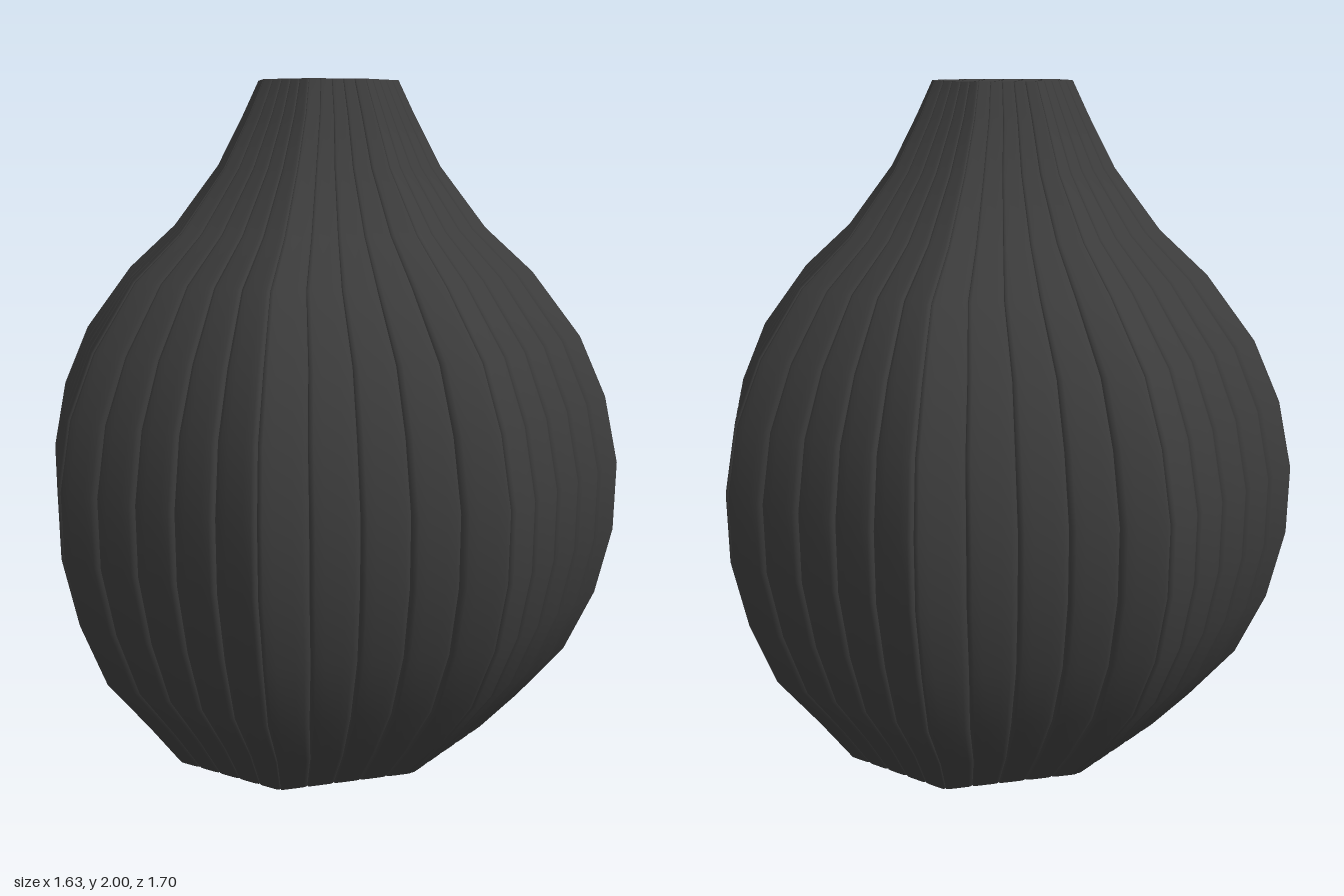
import * as THREE from 'three';

// Rows of the bulb: height, half width in x, half depth in z
const PROFILE = [
  [0, 0.44, 0.53], [0.12, 0.55, 0.61], [0.28, 0.68, 0.73], [0.47, 0.765, 0.80],
  [0.67, 0.81, 0.845], [0.87, 0.815, 0.85], [1.07, 0.775, 0.82], [1.25, 0.70, 0.75],
  [1.44, 0.56, 0.635], [1.57, 0.43, 0.49], [1.75, 0.305, 0.35], [1.9, 0.235, 0.265],
  [2, 0.19, 0.22],
];
const SIDES = 8;
const STAVES_PER_SIDE = 5;
const SLATS = 13;

// Stave cross-section: position across the stave, and how far the edge dips in
const SECTION = [[0, 0.018], [0.035, 0.006], [0.12, 0.001], [0.3, 0], [0.7, 0], [0.88, 0.001], [0.965, 0.006], [1, 0.018]];

// Corner of an octagon whose flats lie at distance 1
function corner(k) {
  const a = (k - 0.5) * Math.PI * 2 / SIDES;
  const r = 1 / Math.cos(Math.PI / SIDES);
  return new THREE.Vector2(Math.sin(a) * r, Math.cos(a) * r);
}

// One curved stave running from the open base to the rim
function staveGeometry(side, stave) {
  const a = corner(side), b = corner(side + 1);
  const positions = [], index = [], n = SECTION.length;
  PROFILE.forEach(([y, rx, rz], i) => {
    SECTION.forEach(([t, dip], j) => {
      const p = a.clone().lerp(b, (stave + t) / STAVES_PER_SIDE).multiplyScalar(1 - dip);
      positions.push(p.x * rx, y, p.y * rz);
      if (i < PROFILE.length - 1 && j < n - 1) {
        const q = i * n + j;
        index.push(q, q + 1, q + n, q + 1, q + n + 1, q + n);
      }
    });
  });
  const g = new THREE.BufferGeometry();
  g.setAttribute('position', new THREE.Float32BufferAttribute(positions, 3));
  g.setIndex(index);
  g.computeVertexNormals();
  return g;
}

export function createModel() {
  const model = new THREE.Group();
  model.name = 'slattedVase';
  const material = new THREE.MeshStandardMaterial({ color: 0x3c3c3c, side: THREE.DoubleSide });

  // Body: five staves on each of the eight sides
  const body = new THREE.Group();
  body.name = 'body';
  for (let s = 0; s < SIDES; s++) {
    for (let k = 0; k < STAVES_PER_SIDE; k++) {
      const stave = new THREE.Mesh(staveGeometry(s, k), material);
      stave.name = 'stave';
      body.add(stave);
    }
  }
  model.add(body);

  // Lid: slats along x, clipped to the octagonal rim
  const [top, rx, rz] = PROFILE[PROFILE.length - 1];
  const lid = new THREE.Group();
  lid.name = 'lid';
  const halfWidth = (z) => rx * Math.min(1, 1 + Math.SQRT2 - 1 - Math.abs(z) / rz + 0) * 0.99;
  const edge = (z) => Math.min(rx * 0.99, rx * (Math.SQRT2 - Math.abs(z) / rz) * 0.99);
  const pitch = 2 * rz / SLATS, gap = 0.0015, depth = 0.008;
  for (let i = 0; i < SLATS; i++) {
    const z0 = -rz + i * pitch + gap, z1 = -rz + (i + 1) * pitch - gap;
    const w0 = edge(z0), w1 = edge(z1);
    const shape = new THREE.Shape([
      new THREE.Vector2(-w0, z0), new THREE.Vector2(w0, z0),
      new THREE.Vector2(w1, z1), new THREE.Vector2(-w1, z1),
    ]);
    const g = new THREE.ExtrudeGeometry(shape, { depth, bevelEnabled: false });
    g.rotateX(-Math.PI / 2).translate(0, top - depth, 0);
    const slat = new THREE.Mesh(g, material);
    slat.name = 'lidSlat';
    lid.add(slat);
  }

  // Backing sheet that closes the gaps between the slats
  const outline = [];
  for (let k = 0; k < SIDES; k++) {
    const c = corner(k);
    outline.push(new THREE.Vector2(c.x * rx, c.y * rz));
  }
  const sheet = new THREE.ShapeGeometry(new THREE.Shape(outline));
  sheet.rotateX(-Math.PI / 2).translate(0, top - depth, 0);
  const backing = new THREE.Mesh(sheet, material);
  backing.name = 'lidBacking';
  lid.add(backing);
  model.add(lid);

  return model;
}
